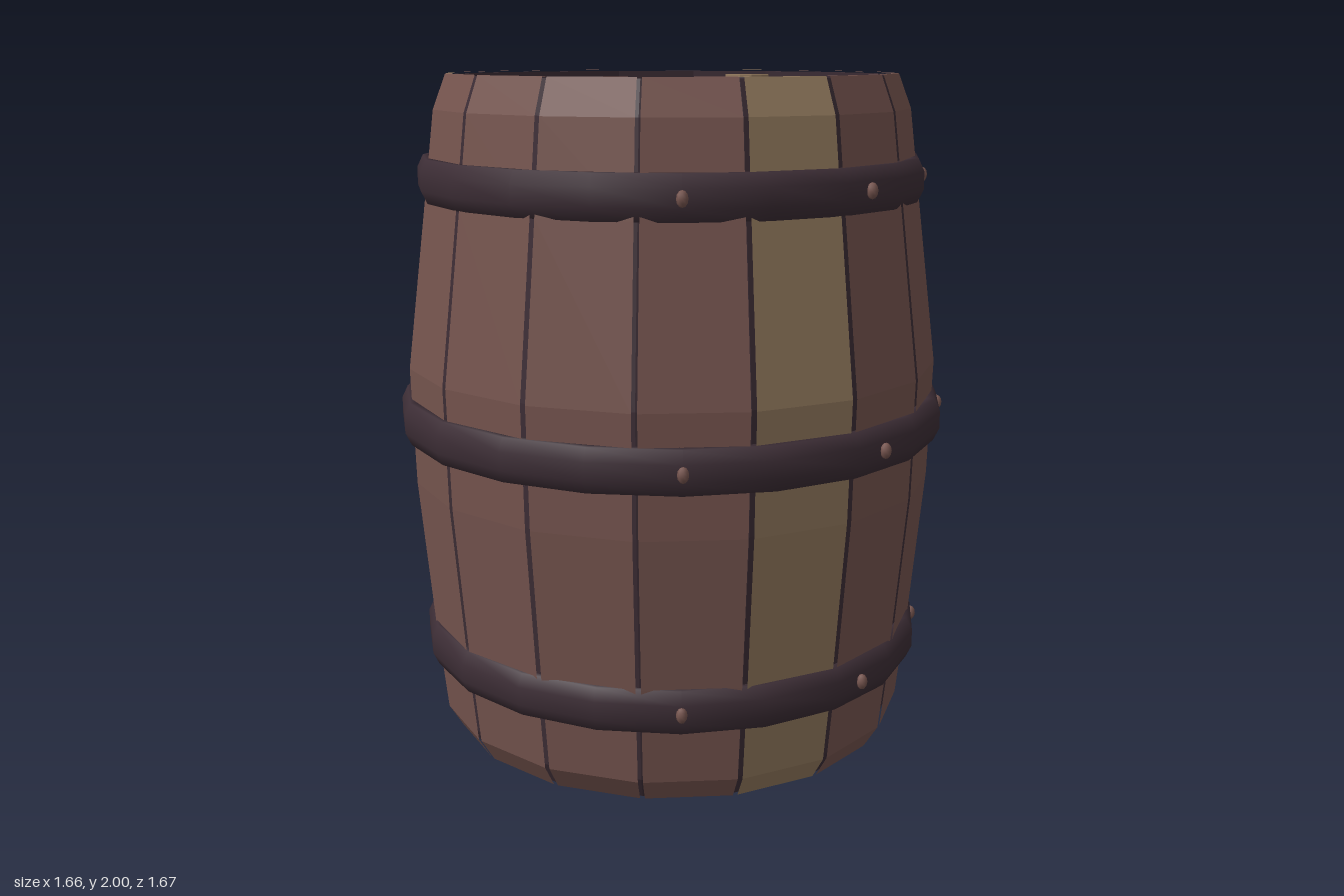
import * as THREE from 'three';

const SIDES = 16;
const STEP = (Math.PI * 2) / SIDES;
const v2 = (list) => list.map(([r, y]) => new THREE.Vector2(r, y));

// Barrel outline as [radius, height]
const PROFILE = [[0.677, 0], [0.72, 0.07], [0.752, 0.36], [0.792, 0.8],
  [0.802, 1.15], [0.74, 1.64], [0.708, 1.9], [0.67, 2]];

function faceted(geometry) {
  const flat = geometry.toNonIndexed();
  flat.computeVertexNormals();
  return flat;
}

export function createModel() {
  const wood = new THREE.MeshStandardMaterial({ color: 0x75544e });
  wood.name = 'brown wood';
  const paleWood = new THREE.MeshStandardMaterial({ color: 0x937a5e });
  paleWood.name = 'pale wood';
  const iron = new THREE.MeshStandardMaterial({ color: 0x3c2d35, side: THREE.DoubleSide });
  iron.name = 'dark iron';

  const model = new THREE.Group();
  model.name = 'barrel';
  const add = (name, geometry, material, x = 0, y = 0, z = 0, parent = model) => {
    const mesh = new THREE.Mesh(geometry, material);
    mesh.name = name;
    mesh.position.set(x, y, z);
    parent.add(mesh);
    return mesh;
  };

  // Staves: flat strips with narrow gaps; three are pale
  const staves = new THREE.Group();
  staves.name = 'staves';
  model.add(staves);
  const gap = 0.01;
  const outline = v2([...PROFILE, [0.65, 2]]);
  const paleStaves = [5, 10, 15];
  for (let i = 0; i < SIDES; i++) {
    const strip = new THREE.LatheGeometry(outline, 1, i * STEP + gap, STEP - 2 * gap);
    add('stave', faceted(strip), paleStaves.includes(i) ? paleWood : wood, 0, 0, 0, staves);
  }

  // Dark lining behind the gaps, closed at the bottom, with a lip around the lid
  const lining = [[0, 0.004], [0.67, 0.004],
    ...PROFILE.slice(1, -1).map(([r, y]) => [r - 0.018, y]),
    [0.655, 1.996], [0.643, 1.996], [0.65, 1.93]];
  add('lining', faceted(new THREE.LatheGeometry(v2(lining), SIDES)), iron);

  // Lid with four grooves between its boards
  const lidY = 1.95;
  add('lid', faceted(new THREE.CylinderGeometry(0.655, 0.655, 0.04, SIDES)), wood, 0, lidY - 0.02, 0);
  for (const [z, half] of [[-0.297, 0.56], [-0.095, 0.63], [0.095, 0.63], [0.287, 0.56]]) {
    add('lidGroove', new THREE.BoxGeometry(half * 2, 0.006, 0.018), iron, 0, lidY + 0.002, z);
  }

  // Bung: dark collar with a pale cap
  add('bungCollar', faceted(new THREE.CylinderGeometry(0.068, 0.08, 0.04, 12)), iron, 0.13, lidY + 0.02, 0.195);
  add('bungCap', faceted(new THREE.CylinderGeometry(0.064, 0.064, 0.008, 12)), paleWood, 0.13, lidY + 0.043, 0.195);

  // Hoops with three rivets each
  const rivetShape = new THREE.SphereGeometry(0.02, 8, 6);
  rivetShape.scale(0.8, 1.15, 0.8);
  for (const [y, outer] of [[0.298, 0.772], [0.995, 0.83], [1.7, 0.758]]) {
    const hoop = new THREE.Group();
    hoop.name = 'hoop';
    model.add(hoop);
    const section = [];
    for (let k = 0; k <= 8; k++) {
      const a = Math.PI * (k / 4 + 1.125);
      section.push([outer - 0.03 + 0.0325 * Math.cos(a), y + 0.068 * Math.sin(a)]);
    }
    add('hoopBand', new THREE.LatheGeometry(v2(section), 20), iron, 0, 0, 0, hoop);
    for (const deg of [-36, 7.2, 52.5]) {
      const a = THREE.MathUtils.degToRad(deg);
      const r = outer - 0.001;
      const rivet = add('rivet', rivetShape, wood, r * Math.sin(a), y, r * Math.cos(a), hoop);
      rivet.rotation.y = a;
    }
  }

  model.position.set(-0.002, 0, -0.007);
  return model;
}
